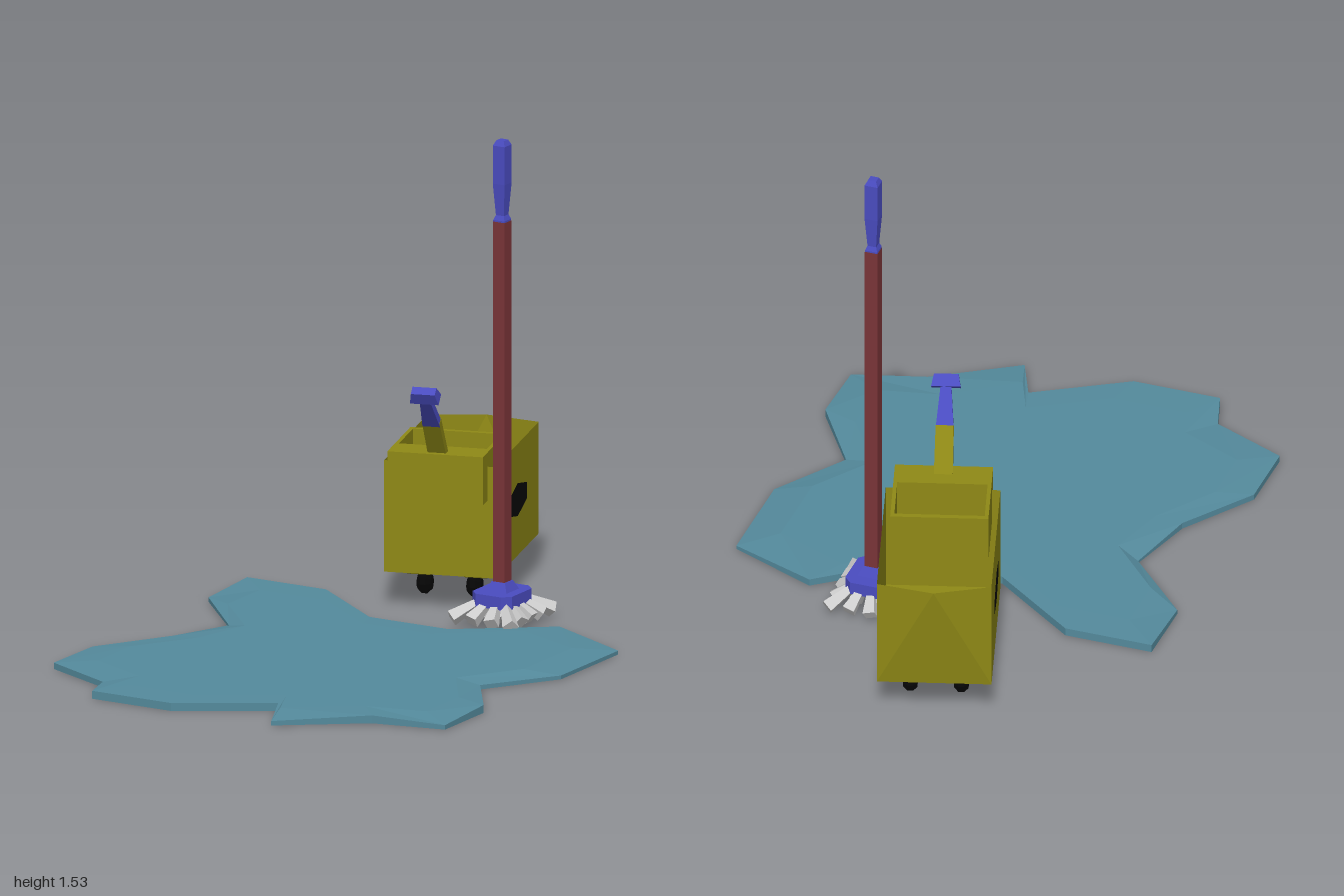
import * as THREE from 'three';

const mat = (color, side = THREE.FrontSide) =>
  new THREE.MeshStandardMaterial({ color, side, flatShading: true });
const OLIVE = 0x8f8916, BLUE = 0x4a4cc0, RED = 0x7a3438, TEAL = 0x548a9c, BLACK = 0x060606;

function add(parent, name, geometry, material, x = 0, y = 0, z = 0) {
  const mesh = new THREE.Mesh(geometry, material);
  mesh.name = name;
  mesh.position.set(x, y, z);
  parent.add(mesh);
  return mesh;
}

// Box with separate bottom and top sizes, standing on y = 0
function taperedBox(w0, d0, w1, d1, h) {
  const g = new THREE.BoxGeometry(1, h, 1).translate(0, h / 2, 0);
  const p = g.attributes.position;
  for (let i = 0; i < p.count; i++) {
    const top = p.getY(i) > h / 2;
    p.setX(i, p.getX(i) * (top ? w1 : w0));
    p.setZ(i, p.getZ(i) * (top ? d1 : d0));
  }
  g.computeVertexNormals();
  return g;
}

// Closed rings of [x, y, z], counterclockwise from above, joined by walls;
// optional caps at the first and last ring
function loft(rings, capStart, capEnd) {
  const n = rings[0].length, pos = rings.flat(2), idx = [];
  for (let r = 0; r < rings.length - 1; r++)
    for (let i = 0; i < n; i++) {
      const a = r * n + i, b = r * n + (i + 1) % n;
      idx.push(a, b, a + n, b, b + n, a + n);
    }
  const cap = (r, flip) => {
    const flat = rings[r].map(p => new THREE.Vector2(p[0], p[2]));
    for (const [a, b, c] of THREE.ShapeUtils.triangulateShape(flat, []))
      idx.push(r * n + a, r * n + (flip ? c : b), r * n + (flip ? b : c));
  };
  if (capStart) cap(0, false);
  if (capEnd) cap(rings.length - 1, true);
  const g = new THREE.BufferGeometry();
  g.setAttribute('position', new THREE.Float32BufferAttribute(pos, 3));
  g.setIndex(idx);
  const out = g.toNonIndexed();
  out.computeVertexNormals();
  return out;
}

// Bar between two points in the plane x = 0
function bar(parent, name, from, to, w0, d0, w1, d1, material) {
  const a = new THREE.Vector3(0, ...from), b = new THREE.Vector3(0, ...to);
  const m = add(parent, name, taperedBox(w0, d0, w1, d1, a.distanceTo(b)), material, ...a);
  m.quaternion.setFromUnitVectors(new THREE.Vector3(0, 1, 0), b.sub(a).normalize());
}

function buildPuddle() {
  // outline x, z and edge height
  const outline = [
    [-0.70, -0.39, 0.025], [-0.42, -0.39, 0.025], [-0.14, -0.18, 0.025], [0.14, -0.18, 0.025],
    [0.41, -0.39, 0.022], [0.69, -0.27, 0.012], [0.69, 0.07, 0.012], [0.54, 0.30, 0.014],
    [0.69, 0.53, 0.025], [0.69, 0.76, 0.014], [0.46, 0.81, 0.025], [0.21, 0.99, 0.014],
    [0.14, 0.83, 0.025], [-0.14, 1, 0.025], [-0.42, 1, 0.025], [-0.46, 0.87, 0.018],
    [-0.70, 0.76, 0.02], [-0.70, 0.53, 0.018], [-0.55, 0.30, 0.02], [-0.49, 0.07, 0.008],
    [-0.70, -0.16, 0.014]].reverse();
  const ring = (s, height) => outline.map(([x, z, h]) => [x * s, height ?? h, 0.3 + (z - 0.3) * s]);
  return loft([ring(1, 0), ring(1), ring(0.84, 0.026)], true, true);
}

function buildBucket() {
  const bucket = new THREE.Group();
  bucket.name = 'mopBucket';
  const olive = mat(OLIVE, THREE.DoubleSide), blue = mat(BLUE), black = mat(BLACK);

  // Open tub; the last point runs from a lower corner up to the spout tip in the back rim
  const tubRing = (y, x, z) => [
    [-0.175, y, 0], [-0.175, y, 0.55], [0.175, y, 0.55], [0.175, y, 0], [x, y, z]];
  add(bucket, 'tub', loft([tubRing(0.115, 0.175, 0), tubRing(0.467, 0, -0.045)], true, false), olive);

  // Wringer: open basin with a closed deck in front
  const basin = (y, z0, z1, w) => [[-w, y, z0], [-w, y, z1], [w, y, z1], [w, y, z0]];
  add(bucket, 'wringer', loft([
    basin(0.36, 0.315, 0.61, 0.15), basin(0.512, 0.315, 0.61, 0.15),
    basin(0.512, 0.332, 0.51, 0.138), basin(0.38, 0.332, 0.51, 0.138)], true, true), olive);

  // Wringer lever
  bar(bucket, 'leverArm', [0.49, 0.562], [0.63, 0.655], 0.058, 0.024, 0.055, 0.024, olive);
  bar(bucket, 'leverGrip', [0.62, 0.65], [0.725, 0.738], 0.055, 0.025, 0.032, 0.02, blue);
  bar(bucket, 'leverKnob', [0.719, 0.732], [0.75, 0.757], 0.09, 0.042, 0.075, 0.028, blue);

  // Hexagonal side panels
  const hex = new THREE.Shape([[-0.12, -0.025], [0, -0.052], [0.12, -0.025],
    [0.12, 0.025], [0, 0.052], [-0.12, 0.025]].map(p => new THREE.Vector2(...p)));
  for (const s of [-1, 1]) {
    const panel = add(bucket, 'sidePanel', new THREE.ShapeGeometry(hex), black, s * 0.177, 0.293, 0.275);
    panel.rotation.y = s * Math.PI / 2;
  }

  // Axle mounts and rounded wheels
  const wheelProfile = [[0, -0.022], [0.022, -0.022], [0.035, -0.009], [0.035, 0.009],
    [0.022, 0.022], [0, 0.022]].map(p => new THREE.Vector2(...p));
  const wheelGeo = new THREE.LatheGeometry(wheelProfile, 10).rotateZ(Math.PI / 2);
  for (const z of [0.11, 0.42])
    for (const s of [-1, 1]) {
      add(bucket, 'axleMount', taperedBox(0.07, 0.07, 0.14, 0.15, 0.03), olive, s * 0.09, 0.087, z);
      add(bucket, 'wheel', wheelGeo, black, s * 0.078, 0.055, z);
    }
  bucket.position.set(-0.197, 0, -0.95);
  bucket.rotation.y = 0.297;
  return bucket;
}

function buildMop() {
  const mop = new THREE.Group();
  mop.name = 'mop';
  const blue = mat(BLUE), grey = mat(0xcccccc);
  add(mop, 'pole', new THREE.BoxGeometry(0.041, 1.15, 0.041), mat(RED), 0, 0.695, 0);

  // Square grip swelling towards the top
  const square = (w, y) => [[-w, y, -w], [-w, y, w], [w, y, w], [w, y, -w]];
  add(mop, 'grip', loft([square(0.02, 1.265), square(0.02, 1.275), square(0.014, 1.29),
    square(0.021, 1.39), square(0.021, 1.51), square(0.013, 1.526)], true, true), blue);

  // Head block with cut corners, and its collar
  const block = (y, w, d, c) => [[-w, y, -d + c], [-w, y, d - c], [-w + c, y, d], [w - c, y, d],
    [w, y, d - c], [w, y, -d + c], [w - c, y, -d], [-w + c, y, -d]];
  add(mop, 'head', loft([block(0.065, 0.07, 0.083, 0.025), block(0.106, 0.07, 0.083, 0.025)],
    true, true), blue);
  add(mop, 'collar', loft([square(0.038, 0.105), square(0.024, 0.134)], false, true), blue);

  // Splayed strands in a grid
  const up = new THREE.Vector3(0, 1, 0);
  for (let i = 0; i < 4; i++)
    for (let j = 0; j < 5; j++) {
      const u = (i - 1.5) / 1.5, v = (j - 2) / 2;
      const base = new THREE.Vector3(u * 0.052, 0.07, v * 0.065);
      const tip = new THREE.Vector3(u * 0.105, 0.03, v * 0.125);
      const strand = add(mop, 'strand',
        taperedBox(0.038, 0.036, 0.022, 0.022, base.distanceTo(tip)), grey, ...tip);
      strand.quaternion.setFromUnitVectors(up, base.sub(tip).normalize());
    }
  mop.position.set(0.197, 0, -0.405);
  return mop;
}

export function createModel() {
  const model = new THREE.Group();
  model.name = 'cleaningSet';
  add(model, 'puddle', buildPuddle(), mat(TEAL));
  model.add(buildBucket(), buildMop());
  return model;
}
